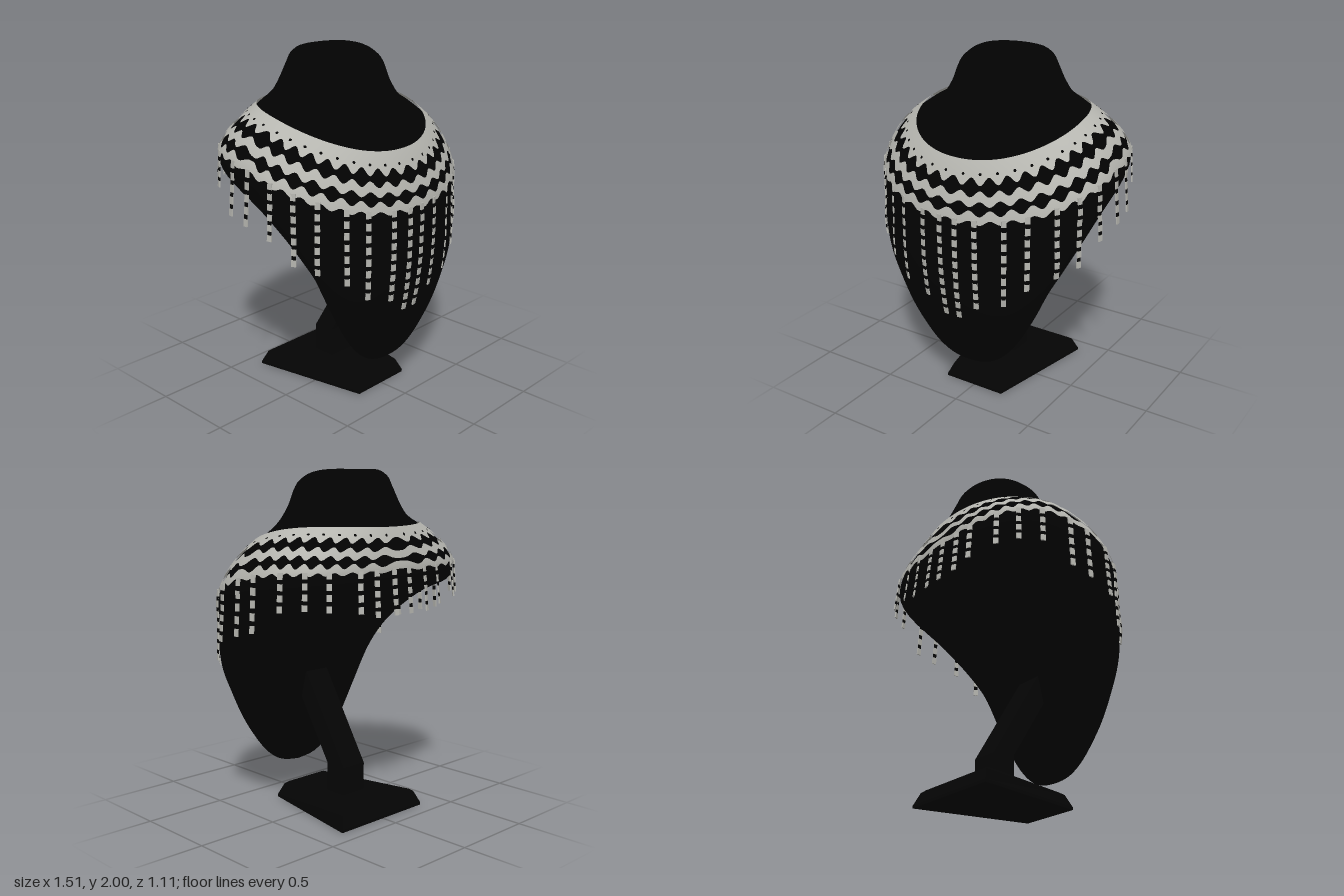
import * as THREE from 'three';
import { mergeGeometries } from 'three/addons/utils/BufferGeometryUtils.js';

const black = new THREE.MeshStandardMaterial({ color: 0x020202, side: THREE.DoubleSide });
black.name = 'black velvet';
const standBlack = new THREE.MeshStandardMaterial({ color: 0x040404 });
standBlack.name = 'stand black';
const silver = new THREE.MeshStandardMaterial({ color: 0xb6b6b0, side: THREE.DoubleSide });
silver.name = 'silver beads';

// Bust cross-sections: front z, front y, back z, back y, half width, side y
const RINGS = [
  [-0.08, 1.99, -0.08, 1.99, 0.001, 1.99],
  [0.09, 1.965, -0.23, 2.0, 0.18, 1.995],
  [0.155, 1.935, -0.295, 1.97, 0.255, 1.955],
  [0.19, 1.89, -0.325, 1.91, 0.288, 1.9],
  [0.22, 1.8, -0.36, 1.83, 0.325, 1.81],
  [0.265, 1.7, -0.39, 1.76, 0.375, 1.735],
  [0.335, 1.59, -0.415, 1.72, 0.435, 1.69],
  [0.42, 1.48, -0.44, 1.685, 0.5, 1.65],    // neckline
  [0.495, 1.32, -0.485, 1.575, 0.635, 1.545],
  [0.54, 1.165, -0.51, 1.455, 0.72, 1.4],   // collar hem
  [0.545, 1.0, -0.475, 1.36, 0.715, 1.27],
  [0.54, 0.85, -0.25, 1.28, 0.675, 1.13],
  [0.525, 0.7, -0.02, 1.15, 0.605, 0.96],
  [0.5, 0.56, 0.11, 0.95, 0.525, 0.8],
  [0.465, 0.43, 0.185, 0.72, 0.43, 0.59],
  [0.425, 0.32, 0.23, 0.49, 0.32, 0.4],
  [0.395, 0.25, 0.268, 0.33, 0.225, 0.285],
  [0.37, 0.212, 0.3, 0.235, 0.125, 0.222],
  [0.335, 0.2, 0.335, 0.2, 0.001, 0.2],
];
const NECK = 7, HEM = 9, LAST = RINGS.length - 1, WAVES = 36;

function ringAt(t) {
  const i = Math.min(LAST - 1, Math.floor(t)), f = t - i;
  const at = (k) => RINGS[Math.max(0, Math.min(LAST, k))];
  return RINGS[0].map((_, k) => {
    const a = at(i - 1)[k], b = at(i)[k], c = at(i + 1)[k], d = at(i + 2)[k];
    return b + 0.5 * f * (c - a + f * (2 * a - 5 * b + 4 * c - d + f * (3 * (b - c) + d - a)));
  });
}

// Point on the bust; angle 0 is the front. The back of the shoulders is squarer.
function bustPoint(a, t) {
  const [zf, yf, zb, yb, w, ys] = ringAt(t);
  const power = Math.cos(a) > 0 ? 2.12 : 2.15 + 0.95 * THREE.MathUtils.smoothstep(t, NECK - 0.2, HEM);
  const round = (v) => Math.sign(v) * Math.abs(v) ** (2 / power);
  const x = round(Math.sin(a)), z = round(Math.cos(a)), mid = (yf + yb) / 2;
  return new THREE.Vector3(w * x, mid + (yf - yb) / 2 * z + (ys - mid) * (1 - z * z), (zf + zb) / 2 + (zf - zb) / 2 * z);
}

function bustNormal(a, t) {
  const da = bustPoint(a + 0.03, t).sub(bustPoint(a - 0.03, t));
  const dt = bustPoint(a, t + 0.03).sub(bustPoint(a, t - 0.03));
  return dt.cross(da).normalize();
}

const lifted = (a, t, lift) => bustPoint(a, t).addScaledVector(bustNormal(a, t), lift);

// Closed band of quads: point(angle, s) with s from 0 to 1
function loopSurface(point, around, down) {
  const pos = [], idx = [];
  for (let j = 0; j <= down; j++)
    for (let i = 0; i < around; i++) pos.push(...point((i / around) * Math.PI * 2, j / down).toArray());
  for (let j = 0; j < down; j++)
    for (let i = 0; i < around; i++) {
      const n = (i + 1) % around, a = j * around + i, c = j * around + n;
      idx.push(a, a + around, c, a + around, c + around, c);
    }
  const g = new THREE.BufferGeometry();
  g.setAttribute('position', new THREE.Float32BufferAttribute(pos, 3));
  g.setIndex(idx);
  g.computeVertexNormals();
  return g;
}

// Fringe strands on one side: x, z and y of the lower end
const STRANDS = [
  [0.042, 0.48, 0.57], [0.155, 0.48, 0.66], [0.308, 0.46, 0.71], [0.435, 0.435, 0.82], [0.575, 0.355, 0.89],
  [0.665, 0.265, 0.94], [0.73, 0.15, 1.07], [0.75, -0.015, 1.12], [0.745, -0.14, 1.15], [0.69, -0.3, 1.27],
  [0.61, -0.405, 1.28], [0.505, -0.48, 1.27], [0.32, -0.53, 1.25], [0.2, -0.54, 1.22], [0.06, -0.545, 1.22],
];

export function createModel() {
  const model = new THREE.Group();
  const add = (geometry, material, name) => {
    const m = new THREE.Mesh(geometry, material);
    m.name = name;
    model.add(m);
    return m;
  };

  // Bust
  const bust = add(loopSurface((a, s) => bustPoint(a, s * LAST), 128, 90), black, 'bust');

  // Collar: toothed yoke and two wavy rows
  const wave = (a) => Math.cos(a * WAVES);
  const band = (name, top, bottom) => add(loopSurface((a, s) => {
    const t0 = top(a), t1 = bottom(a);
    return lifted(a, NECK + t0 + (t1 - t0) * s, 0.012);
  }, 432, 6), silver, name);
  band('collarYoke', () => 0, (a) => 0.66 - 0.12 * wave(a));
  band('collarMiddleRow', (a) => 1.03 + 0.1 * wave(a), (a) => 1.36 + 0.09 * wave(a));
  band('collarLowerRow', (a) => 1.66 - 0.1 * wave(a), (a) => 1.97 - 0.07 * wave(a));

  // Small dark eyelets in the yoke teeth
  const eyelets = [];
  for (let i = 0; i < WAVES; i++) {
    const a = ((i + 0.5) / WAVES) * Math.PI * 2, g = new THREE.CircleGeometry(0.009, 6);
    const q = new THREE.Quaternion().setFromUnitVectors(new THREE.Vector3(0, 0, 1), bustNormal(a, NECK + 0.45));
    g.applyQuaternion(q);
    g.translate(...lifted(a, NECK + 0.45, 0.015).toArray());
    eyelets.push(g);
  }
  add(mergeGeometries(eyelets), black, 'yokeEyelets');

  // Fringe: alternating silver beads and dark spacers, kept just outside the bust
  const caster = new THREE.Raycaster();
  const outside = (p) => {
    const out = new THREE.Vector3(p.x, 0, p.z), r = out.length();
    out.normalize();
    caster.set(out.clone().multiplyScalar(3).setY(p.y), out.clone().negate());
    const hit = caster.intersectObject(bust)[0];
    return out.multiplyScalar(Math.max(r, hit ? 3 - hit.distance + 0.008 : 0)).setY(p.y);
  };
  const hemPoint = (x, z) => {
    const want = Math.atan2(x, z);
    let best = null, gap = 9;
    for (let a = 0; a <= Math.PI; a += 0.01) {
      const p = lifted(a, HEM - 0.1, 0.012), d = Math.abs(Math.atan2(p.x, p.z) - want);
      if (d < gap) { gap = d; best = p; }
    }
    return best;
  };
  const beads = [], spacers = [];
  for (const [x, z, y] of STRANDS) {
    const top = hemPoint(x, z), end = new THREE.Vector3(x, y, z);
    const count = 2 * Math.max(2, Math.round((top.y - y) / 0.068)) + 1;
    const pts = [];
    for (let i = 0; i <= count; i++) pts.push(outside(top.clone().lerp(end, i / count)));
    for (let i = 0; i < count; i++) {
      const p = pts[i], q = pts[i + 1], isBead = i % 2 === 0;
      const up = p.clone().sub(q), length = up.length();
      up.normalize();
      const right = up.clone().cross(new THREE.Vector3(x, 0, z)).normalize();
      const matrix = new THREE.Matrix4().makeBasis(right, up, right.clone().cross(up));
      matrix.setPosition(p.clone().add(q).multiplyScalar(0.5));
      for (const side of [1, -1]) {
        const g = new THREE.BoxGeometry(isBead ? 0.028 : 0.022, length * (isBead ? 1.25 : 1), isBead ? 0.008 : 0.006);
        g.applyMatrix4(matrix);
        if (side < 0) g.rotateY(-2 * Math.atan2(p.x + q.x, p.z + q.z));
        (isBead ? beads : spacers).push(g);
      }
    }
  }
  add(mergeGeometries(beads), silver, 'fringeBeads');
  add(mergeGeometries(spacers), black, 'fringeSpacers');

  // Base with sloping sides, narrower towards the front
  const base = new THREE.BoxGeometry(0.66, 0.1, 0.71, 1, 3, 1);
  const p = base.attributes.position, levels = [[0, 0], [0.015, 0], [0.085, 0.03], [0.1, 0.05]];
  for (let i = 0; i < p.count; i++) {
    const [y, inset] = levels[Math.round((p.getY(i) + 0.05) * 30)];
    const sx = Math.sign(p.getX(i)), sz = Math.sign(p.getZ(i));
    p.setXYZ(i, sx * ((sz > 0 ? 0.195 : 0.33) - inset), y, sz * (0.355 - inset) - 0.045);
  }
  const flatBase = base.toNonIndexed();
  flatBase.computeVertexNormals();
  add(flatBase, standBlack, 'base');

  // Bent post, drawn in side outline as (z, y)
  const outline = [[-0.02, 0.09], [-0.02, 0.275], [0.23, 0.68], [0.21, 0.86], [0.17, 0.81], [-0.16, 0.265], [-0.16, 0.09]];
  const shape = new THREE.Shape(outline.map(([z, y]) => new THREE.Vector2(-z, y)));
  const post = new THREE.ExtrudeGeometry(shape, { depth: 0.17, bevelEnabled: false });
  post.translate(0, 0, -0.085);
  post.rotateY(Math.PI / 2);
  add(post, standBlack, 'post');

  return model;
}
